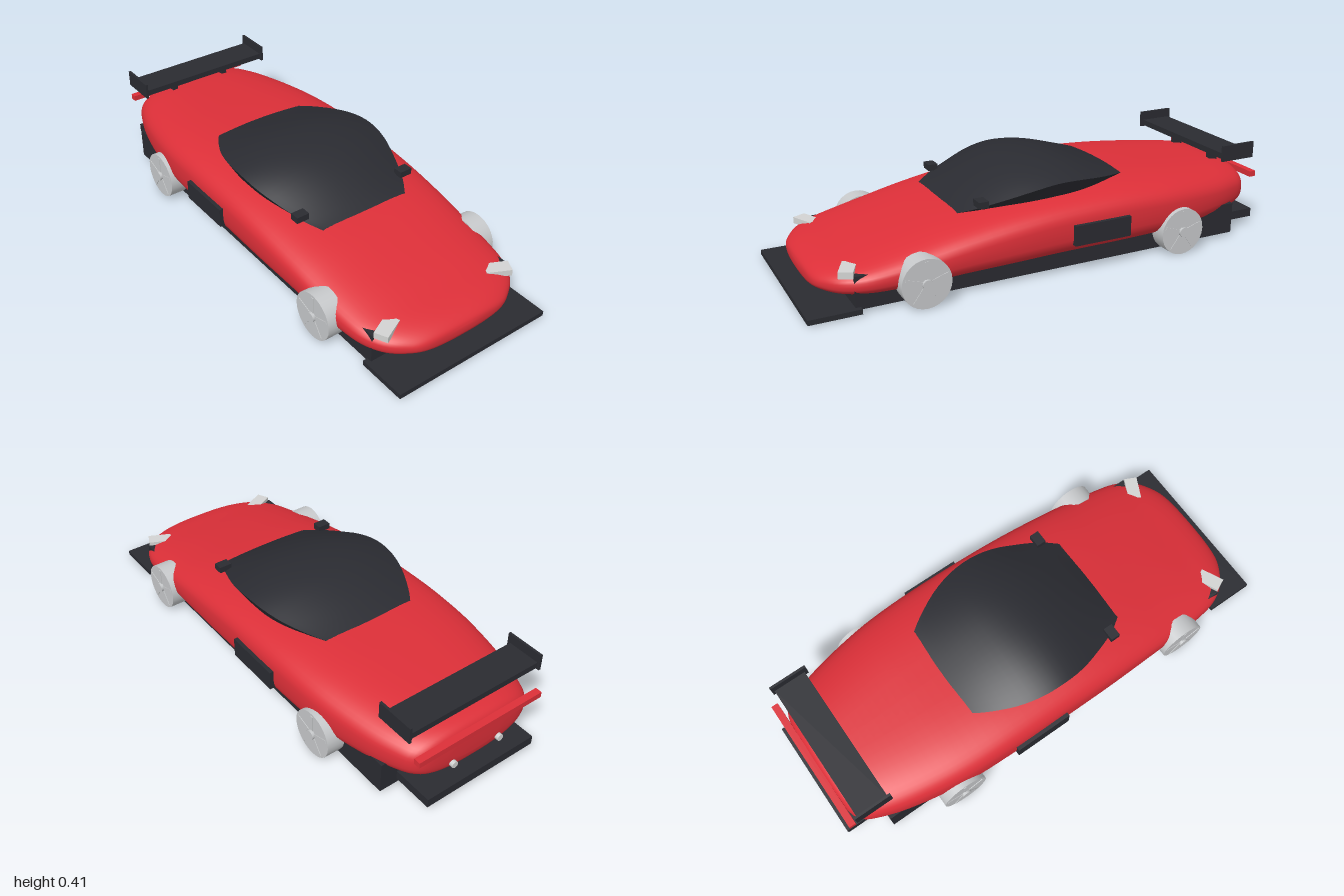
import * as THREE from 'three';
import { toCreasedNormals } from 'three/addons/utils/BufferGeometryUtils.js';

const paint = (name, color) => Object.assign(new THREE.MeshStandardMaterial({ color }), { name });

// Smoothly resample rows of station values
function resample(rows, count) {
  const curve = (k) => new THREE.CatmullRomCurve3(
    rows.map((r) => new THREE.Vector3(r[0], r[k], r[k + 1] ?? 0)), false, 'catmullrom', 0.5);
  const a = curve(1), b = curve(3);
  return Array.from({ length: count + 1 }, (_, i) => {
    const p = a.getPoint(i / count), q = b.getPoint(i / count);
    return [p.x, p.y, p.z, q.y, q.z];
  });
}

// Skin closed rings (counter-clockwise, running from +z to -z) and cap the ends
function loft(rings) {
  const n = rings[0].length, m = rings.length, index = [];
  const pos = rings.flat(2);
  const centre = (ring) => [0, 1, 2].map((k) => ring.reduce((s, p) => s + p[k], 0) / n);
  pos.push(...centre(rings[0]), ...centre(rings[m - 1]));
  for (let j = 0; j < n; j++) {
    const k = (j + 1) % n, last = (m - 1) * n;
    for (let i = 0; i < m - 1; i++) {
      const a = i * n + j, b = i * n + k, c = b + n, d = a + n;
      index.push(d, c, a, c, b, a);
    }
    index.push(m * n, j, k, m * n + 1, last + k, last + j);
  }
  const geo = new THREE.BufferGeometry();
  geo.setAttribute('position', new THREE.Float32BufferAttribute(pos, 3));
  geo.setIndex(index);
  geo.computeVertexNormals();
  return geo;
}

export function createModel() {
  const car = new THREE.Group();
  car.name = 'sportsCar';
  const red = paint('bodyRed', 0xdc2f38);
  const dark = paint('darkTrim', 0x2a2b31);
  const silver = paint('wheelSilver', 0xc6c8ca);
  const lamp = paint('lampGrey', 0xd2d3d2);

  const add = (name, geo, mat, x = 0, y = 0, z = 0, parent = car) => {
    const mesh = new THREE.Mesh(geo, mat);
    mesh.name = name;
    mesh.position.set(x, y, z);
    parent.add(mesh);
    return mesh;
  };
  // Box given by its min and max corners
  const box = (name, mat, x0, x1, y0, y1, z0, z1) => add(name,
    new THREE.BoxGeometry(x1 - x0, y1 - y0, z1 - z0), mat, (x0 + x1) / 2, (y0 + y1) / 2, (z0 + z1) / 2);

  // Body shell: z, half width, bottom, top, roundness
  const bodyRows = [
    [0.945, 0.05, 0.08, 0.105, 2.3], [0.935, 0.18, 0.062, 0.124, 2.4], [0.905, 0.25, 0.05, 0.143, 2.5],
    [0.855, 0.31, 0.042, 0.16, 2.6], [0.78, 0.35, 0.036, 0.178, 2.6], [0.68, 0.368, 0.03, 0.203, 2.6],
    [0.55, 0.38, 0.032, 0.232, 2.7], [0.4, 0.388, 0.04, 0.263, 2.9], [0.2, 0.395, 0.045, 0.295, 3.1],
    [0, 0.397, 0.05, 0.315, 3.2], [-0.25, 0.397, 0.05, 0.325, 3.2], [-0.45, 0.39, 0.05, 0.32, 3.1],
    [-0.6, 0.372, 0.05, 0.311, 3], [-0.75, 0.342, 0.06, 0.3, 2.8], [-0.85, 0.31, 0.07, 0.291, 2.7],
    [-0.92, 0.275, 0.085, 0.278, 2.6], [-0.95, 0.22, 0.1, 0.258, 2.5], [-0.96, 0.11, 0.135, 0.225, 2.4],
  ];
  const power = (v, n) => Math.sign(v) * Math.abs(v) ** (2 / n);
  add('bodyShell', loft(resample(bodyRows, 68).map(([z, w, lo, hi, n]) =>
    Array.from({ length: 56 }, (_, j) => {
      const a = (j / 56) * Math.PI * 2;
      return [w * power(Math.cos(a), n), (lo + hi) / 2 + ((hi - lo) / 2) * power(Math.sin(a), n), z];
    }))), red);

  // Canopy: z, half width, edge height, crown height, underside height
  const canopyRows = [
    [0.37, 0.2, 0.262, 0.268, 0.245], [0.3, 0.245, 0.285, 0.31, 0.255], [0.2, 0.285, 0.315, 0.36, 0.265],
    [0.1, 0.315, 0.343, 0.395, 0.275], [0, 0.325, 0.36, 0.41, 0.28], [-0.1, 0.318, 0.358, 0.405, 0.28],
    [-0.2, 0.29, 0.345, 0.38, 0.285], [-0.3, 0.24, 0.328, 0.345, 0.29], [-0.36, 0.2, 0.316, 0.323, 0.29],
  ];
  const canopy = loft(resample(canopyRows, 24).map(([z, w, edge, top, low]) => {
    const ring = [];
    for (let j = 0; j <= 20; j++) {
      const u = 1 - j / 10;
      ring.push([w * u, edge + (top - edge) * (1 - Math.abs(u) ** 2.2), z]);
    }
    ring.push([-0.86 * w, low, z], [0.86 * w, low, z]);
    return ring;
  }));
  add('canopy', toCreasedNormals(canopy, 0.8), dark);

  // Underfloor and aero parts
  box('underfloor', dark, -0.33, 0.33, 0.015, 0.145, -0.835, 0.82);
  box('frontSplitter', dark, -0.35, 0.35, 0.005, 0.025, 0.8, 1);
  box('rearDiffuser', dark, -0.255, 0.255, 0.033, 0.07, -1, -0.8);
  box('rearWing', dark, -0.305, 0.305, 0.333, 0.358, -0.93, -0.795);
  box('tailBar', red, -0.29, 0.29, 0.232, 0.256, -0.978, -0.95);

  const wheelGeo = new THREE.CylinderGeometry(0.097, 0.097, 0.075, 28).rotateZ(Math.PI / 2);
  const hubGeo = new THREE.CylinderGeometry(0.02, 0.02, 0.014, 12).rotateZ(Math.PI / 2);
  const spokeGeo = new THREE.BoxGeometry(0.006, 0.07, 0.012).translate(0, 0.052, 0);
  const pipeGeo = new THREE.CylinderGeometry(0.014, 0.014, 0.04, 12).rotateX(Math.PI / 2);

  for (const s of [1, -1]) {
    const side = s > 0 ? 'left' : 'right';
    const pair = (name, mat, x0, x1, ...rest) =>
      box(side + name, mat, Math.min(s * x0, s * x1), Math.max(s * x0, s * x1), ...rest);
    pair('WingEndplate', dark, 0.299, 0.309, 0.328, 0.396, -0.94, -0.782);
    pair('WingSupport', dark, 0.118, 0.142, 0.27, 0.335, -0.885, -0.845);
    pair('Mirror', dark, 0.225, 0.28, 0.294, 0.32, 0.272, 0.312);
    pair('SideVent', dark, 0.37, 0.412, 0.13, 0.212, -0.275, -0.028);

    // Headlight and exhaust
    const light = add(side + 'Headlight', new THREE.BoxGeometry(0.1, 0.026, 0.055), lamp, s * 0.268, 0.148, 0.823);
    light.rotation.y = -s * 0.45;
    add(side + 'Exhaust', pipeGeo, lamp, s * 0.11, 0.128, -0.952);

    // Wheels with five spokes and a hub
    for (const [end, z] of [['Front', 0.575], ['Rear', -0.53]]) {
      const wheel = new THREE.Group();
      wheel.name = side + end + 'Wheel';
      wheel.position.set(s * 0.367, 0.0975, z);
      car.add(wheel);
      add('tyre', wheelGeo, silver, 0, 0, 0, wheel);
      add('hub', hubGeo, silver, s * 0.042, 0, 0, wheel);
      for (let i = 0; i < 5; i++) {
        add('spoke', spokeGeo, silver, s * 0.037, 0, 0, wheel).rotation.x = (i * Math.PI * 2) / 5;
      }
    }
  }
  return car;
}
